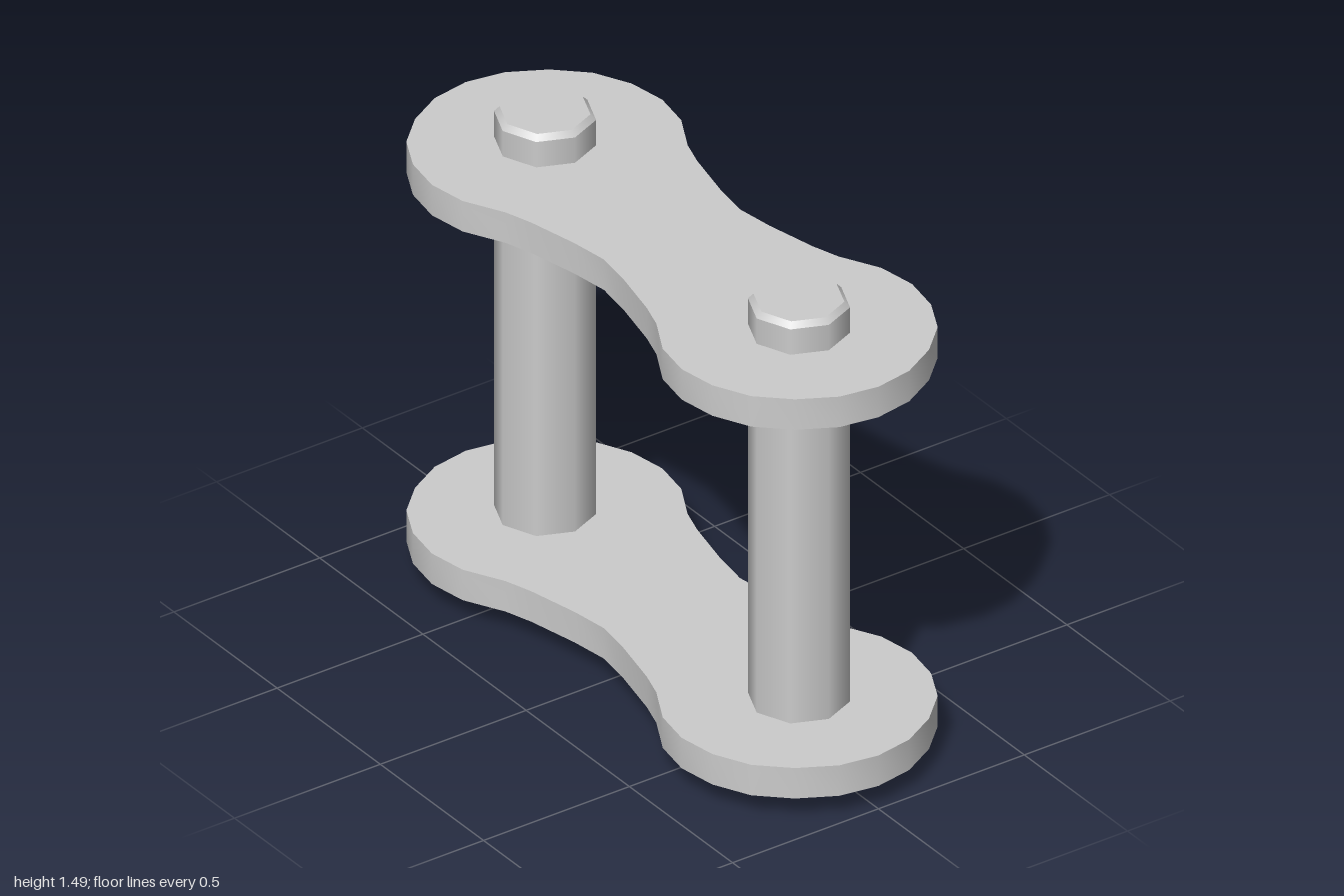
import * as THREE from 'three';
import { toCreasedNormals } from 'three/addons/utils/BufferGeometryUtils.js';

const material = new THREE.MeshStandardMaterial({ color: 0xcccccc });

const HEIGHT = 1.485, PIN_Z = 0.615, PIN_R = 0.145;
const PLATE_T = 0.1, CHAMFER = 0.017, CHAMFER_R = 0.129;

// One quarter of the waisted plate outline, from the end tip to the waist
const QUARTER = [
  [0, 1], [0.12, 0.98], [0.23, 0.92], [0.32, 0.835], [0.375, 0.725], [0.395, 0.605],
  [0.375, 0.485], [0.312, 0.365], [0.285, 0.28], [0.25, 0.12], [0.233, 0],
];

function plateGeometry() {
  const right = [...QUARTER, ...QUARTER.slice(0, -1).reverse().map(([x, z]) => [x, -z])];
  const left = right.slice(1, -1).reverse().map(([x, z]) => [-x, z]);
  const shape = new THREE.Shape([...right, ...left].map(([x, z]) => new THREE.Vector2(x, z)));
  const geometry = new THREE.ExtrudeGeometry(shape, { depth: PLATE_T, bevelEnabled: false });
  geometry.rotateX(Math.PI / 2).translate(0, PLATE_T / 2, 0);
  return toCreasedNormals(geometry, Math.PI / 4);
}

function addMesh(parent, name, geometry, y) {
  const mesh = new THREE.Mesh(geometry, material);
  mesh.name = name;
  mesh.position.y = y;
  parent.add(mesh);
  return mesh;
}

// Eight-sided pin with a chamfered head at each end
function createPin(name) {
  const pin = new THREE.Group();
  pin.name = name;
  const shaftLength = HEIGHT - 2 * CHAMFER;
  addMesh(pin, 'pinShaft', new THREE.CylinderGeometry(PIN_R, PIN_R, shaftLength, 8, 1, true), HEIGHT / 2);
  const head = new THREE.CylinderGeometry(CHAMFER_R, PIN_R, CHAMFER, 8);
  addMesh(pin, 'pinTopChamfer', head, HEIGHT - CHAMFER / 2);
  addMesh(pin, 'pinBottomChamfer', head, CHAMFER / 2).rotation.x = Math.PI;
  return pin;
}

export function createModel() {
  const model = new THREE.Group();
  model.name = 'chainLink';

  // Link plates
  const plate = plateGeometry();
  addMesh(model, 'lowerPlate', plate, 0.125);
  addMesh(model, 'upperPlate', plate, 1.335);

  // Pins
  for (const [name, side] of [['frontPin', 1], ['backPin', -1]]) {
    const pin = createPin(name);
    pin.position.z = side * PIN_Z;
    model.add(pin);
  }
  return model;
}
